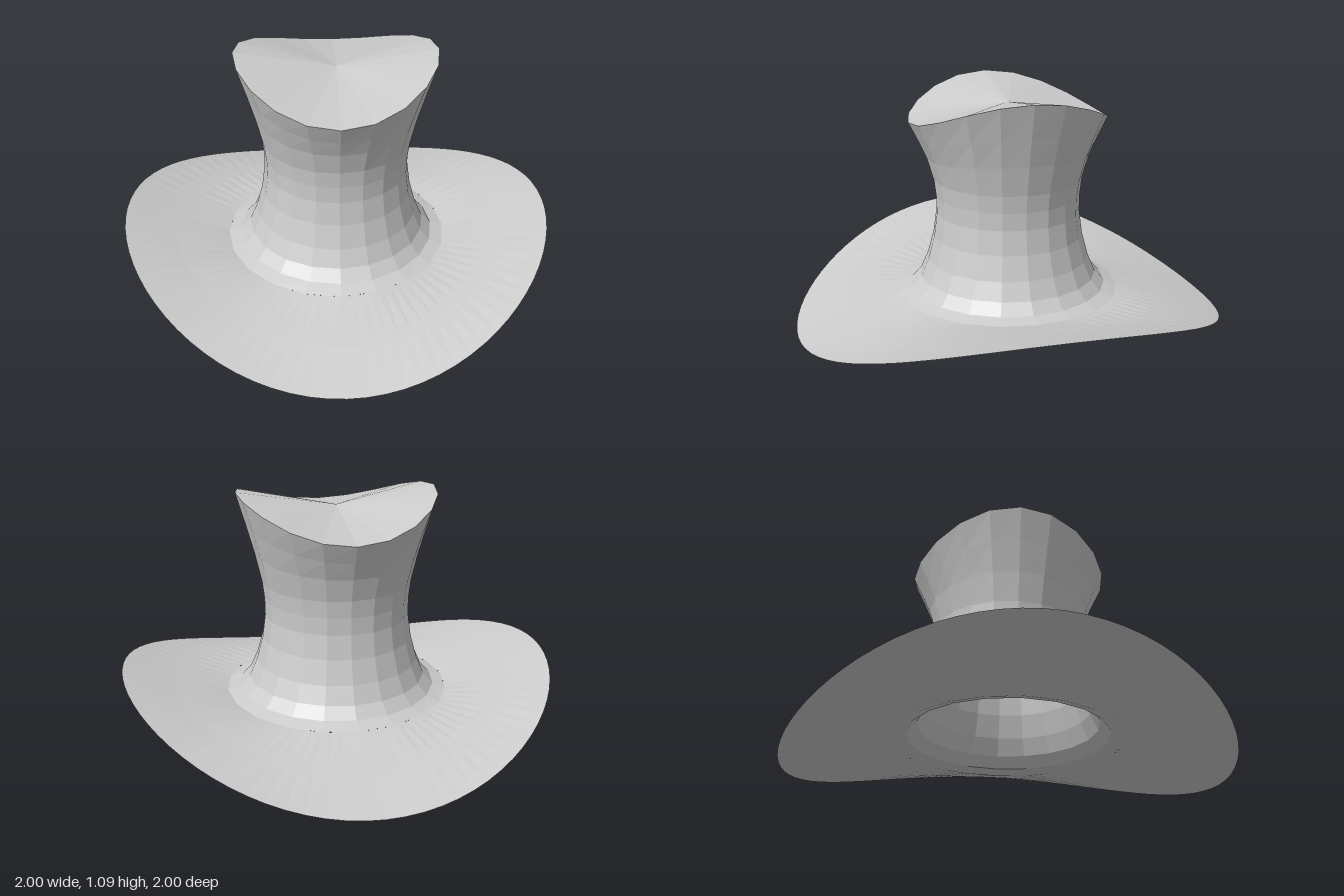
import * as THREE from 'three';

const SIDES = 20;      // facets round the crown
const RIM_SIDES = 80;  // finer steps round the brim

const material = new THREE.MeshStandardMaterial({
  color: 0xcccccc, flatShading: true, side: THREE.DoubleSide,
});

// Radius of a SIDES-gon at angle a, so the fine brim meets the faceted crown
function polygonRadius(r, a) {
  const step = (2 * Math.PI) / SIDES;
  const local = ((a % step) + step) % step;
  return (r * Math.cos(step / 2)) / Math.cos(local - step / 2);
}

// Skin through rings [radius, height, saddle]; saddle lifts the sides (x)
// and drops the front and back (z). Rings run from bottom or outside upward.
function saddleSkin(name, rings, sides, faceted = () => false) {
  const positions = [];
  const index = [];
  rings.forEach(([r, y, saddle], j) => {
    for (let i = 0; i < sides; i++) {
      const a = (i / sides) * Math.PI * 2;
      const radius = faceted(j) ? polygonRadius(r, a) : r;
      positions.push(radius * Math.cos(a), y + saddle * Math.cos(2 * a), radius * Math.sin(a));
    }
  });
  for (let j = 0; j < rings.length - 1; j++) {
    for (let i = 0; i < sides; i++) {
      const a = j * sides + i;
      const b = j * sides + ((i + 1) % sides);
      const c = a + sides;
      const d = b + sides;
      index.push(a, c, b);
      if (rings[j + 1][0] > 0) index.push(b, c, d);
    }
  }
  const geometry = new THREE.BufferGeometry();
  geometry.setAttribute('position', new THREE.Float32BufferAttribute(positions, 3));
  geometry.setIndex(index);
  geometry.computeVertexNormals();
  const mesh = new THREE.Mesh(geometry, material);
  mesh.name = name;
  return mesh;
}

export function createModel() {
  const hat = new THREE.Group();
  hat.name = 'topHat';

  // Wide brim, curled up at the sides and down at front and back
  hat.add(saddleSkin('brim', [
    [1, 0.143, 0.143],
    [0.77, 0.142, 0.073],
    [0.52, 0.14, 0.004],
  ], RIM_SIDES, (j) => j === 2));

  // Flared foot of the crown, open underneath
  hat.add(saddleSkin('crownFoot', [
    [0.52, 0.14, 0.004],
    [0.46, 0.16, 0],
    [0.415, 0.21, 0],
    [0.38, 0.29, 0],
    [0.35, 0.4, 0],
    [0.335, 0.51, 0],
  ], SIDES));

  // Narrow band round the waist
  hat.add(saddleSkin('hatBand', [
    [0.335, 0.51, 0],
    [0.336, 0.59, 0],
    [0.345, 0.67, 0],
  ], SIDES));

  // Upper crown, widening to a saddle-shaped edge
  hat.add(saddleSkin('upperCrown', [
    [0.345, 0.67, 0],
    [0.375, 0.79, 0.015],
    [0.412, 0.9, 0.042],
    [0.455, 1.017, 0.073],
  ], SIDES));

  // Top panel, fanned from its centre
  hat.add(saddleSkin('crownTop', [
    [0.455, 1.017, 0.073],
    [0, 1.017, 0],
  ], SIDES));

  return hat;
}
